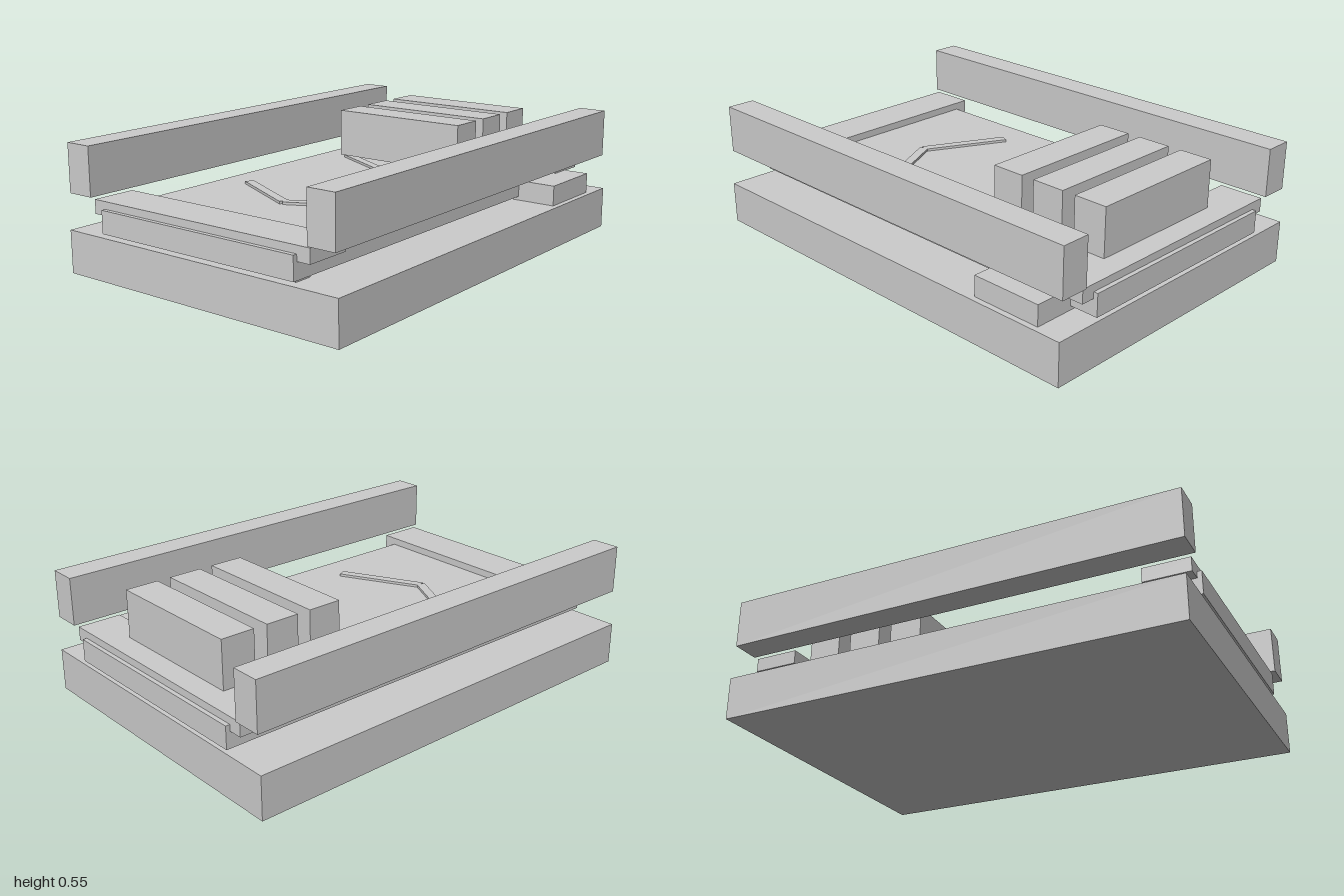
import * as THREE from 'three';

export function createModel() {
  const model = new THREE.Group();
  const grey = new THREE.MeshStandardMaterial({ color: 0xcccccc });

  // Box given by its extents along each axis
  function box(name, [x0, x1], [y0, y1], [z0, z1]) {
    const mesh = new THREE.Mesh(new THREE.BoxGeometry(x1 - x0, y1 - y0, z1 - z0), grey);
    mesh.position.set((x0 + x1) / 2, (y0 + y1) / 2, (z0 + z1) / 2);
    mesh.name = name;
    model.add(mesh);
    return mesh;
  }

  // Base slab and belt
  box('base', [-0.7, 0.7], [0, 0.185], [-1, 1]);
  box('belt', [-0.5, 0.5], [0.202, 0.3], [-1, 1]);

  // Side rails
  for (const [side, x] of [['left', 0.625], ['right', -0.625]]) {
    box(side + 'Rail', [x - 0.0625, x + 0.0625], [0.342, 0.552], [-1, 1]);
  }

  // Roller and cover plate at each end
  for (const [end, s] of [['front', 1], ['back', -1]]) {
    const roller = new THREE.Mesh(new THREE.CylinderGeometry(0.075, 0.075, 0.95, 24), grey);
    roller.rotation.z = Math.PI / 2;
    roller.position.set(0, 0.25, 0.92 * s);
    roller.name = end + 'Roller';
    model.add(roller);
    const z = 0.883 * s;
    box(end + 'Plate', [-0.56, 0.56], [0.272, 0.332], [z - 0.098, z + 0.098]);
  }

  // Drive motor on the left side
  box('motor', [0.475, 0.675], [0.185, 0.275], [-0.875, -0.555]);

  // Row of cargo blocks
  for (const z of [-0.805, -0.595, -0.385]) {
    box('cargoBlock', [-0.325, 0.325], [0.33, 0.542], [z - 0.075, z + 0.075]);
  }

  // Chevron arrows lying on the belt, two mirrored bars each
  for (const z of [0.387, -0.313]) {
    for (const s of [1, -1]) {
      const bar = box('chevronBar', [-0.1975, 0.1975], [0.298, 0.311], [-0.02, 0.02]);
      bar.position.x = 0.176 * s;
      bar.position.z = z;
      bar.rotation.y = s * Math.atan(0.5);
    }
  }
  return model;
}
